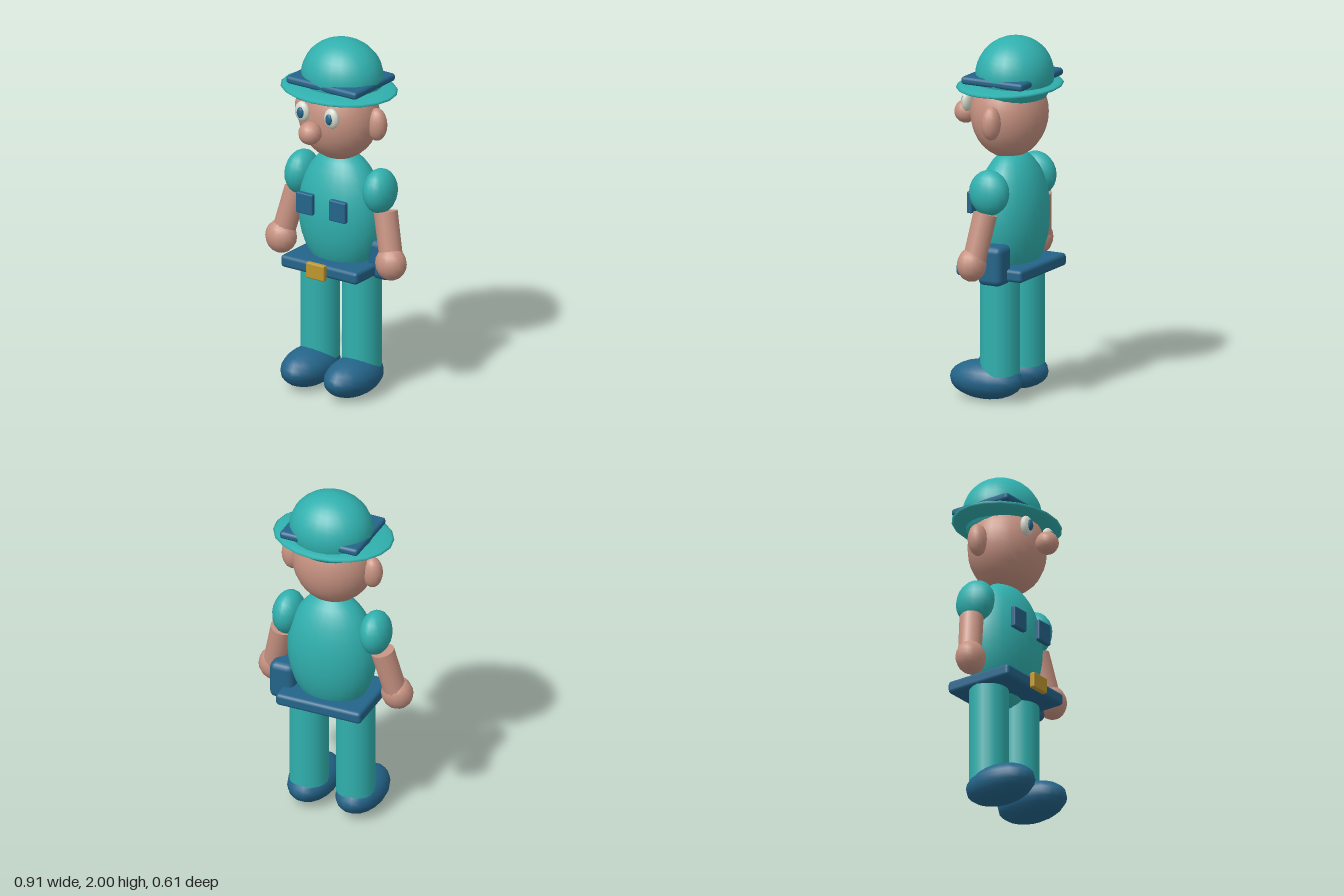
import * as THREE from 'three';
import { RoundedBoxGeometry } from 'three/addons/geometries/RoundedBoxGeometry.js';

const material = (name, color, side = THREE.FrontSide) => {
  const m = new THREE.MeshStandardMaterial({ color, side });
  m.name = name;
  return m;
};

export function createModel() {
  const model = new THREE.Group();
  model.name = 'uniformedFigure';

  const teal = material('tealCloth', 0x30b0ae, THREE.DoubleSide);
  const blue = material('darkBlue', 0x246489);
  const skin = material('skin', 0xc69281);
  const gold = material('buckleGold', 0xbd962f);
  const white = material('eyeWhite', 0xd6dacb);

  const add = (name, geometry, mat, pos) => {
    const mesh = new THREE.Mesh(geometry, mat);
    mesh.name = name;
    mesh.position.set(...pos);
    model.add(mesh);
    return mesh;
  };
  // Ellipsoid from centre and radii; thetaLength < PI cuts the bottom off
  const ball = (name, mat, pos, radii, w = 20, h = 14, theta = Math.PI) => {
    const mesh = add(name, new THREE.SphereGeometry(1, w, h, 0, Math.PI * 2, 0, theta), mat, pos);
    mesh.scale.set(...radii);
    return mesh;
  };
  const box = (name, mat, pos, size, r) =>
    add(name, new RoundedBoxGeometry(...size, 2, r), mat, pos);
  // Cylinder running from a to b
  const limb = (name, mat, a, b, ra, rb, sides) => {
    const from = new THREE.Vector3(...a), to = new THREE.Vector3(...b);
    const dir = to.clone().sub(from);
    const mid = from.clone().add(to).multiplyScalar(0.5);
    const mesh = add(name, new THREE.CylinderGeometry(rb, ra, dir.length(), sides), mat, mid.toArray());
    mesh.quaternion.setFromUnitVectors(new THREE.Vector3(0, 1, 0), dir.normalize());
    return mesh;
  };

  // Torso, belt and buckle
  ball('torso', teal, [0, 1.01, -0.05], [0.255, 0.365, 0.182], 24, 16);
  box('belt', blue, [0, 0.728, -0.038], [0.506, 0.07, 0.41], 0.02);
  box('buckle', gold, [0, 0.728, 0.184], [0.12, 0.09, 0.032], 0.008);
  box('hipPouch', blue, [0.262, 0.785, -0.082], [0.142, 0.22, 0.146], 0.035);

  // Head and nose
  ball('head', skin, [0, 1.575, -0.028], [0.23, 0.25, 0.207], 24, 16);
  ball('nose', skin, [0, 1.547, 0.243], [0.065, 0.064, 0.064], 14, 10);

  // Hat: dome, lens-shaped brim and square band
  ball('hatDome', teal, [0, 1.79, -0.06], [0.233, 0.21, 0.208], 24, 14, Math.PI * 0.7);
  ball('hatBrim', teal, [0, 1.727, -0.03], [0.338, 0.03, 0.277], 20, 12);
  box('hatBand', blue, [0, 1.776, -0.044], [0.466, 0.044, 0.382], 0.018);

  // Mirrored parts
  for (const [side, s] of [['left', 1], ['right', -1]]) {
    ball(side + 'Ear', skin, [s * 0.237, 1.56, -0.048], [0.06, 0.093, 0.053], 14, 10);
    ball(side + 'Eye', white, [s * 0.097, 1.632, 0.178], [0.046, 0.058, 0.027], 16, 10);
    ball(side + 'Pupil', blue, [s * 0.095, 1.632, 0.2], [0.022, 0.032, 0.014], 12, 8);
    box(side + 'Pocket', blue, [s * 0.109, 1.083, 0.132], [0.108, 0.12, 0.032], 0.008);

    ball(side + 'Sleeve', teal, [s * 0.259, 1.18, -0.048], [0.085, 0.125, 0.116], 16, 12)
      .rotation.z = s * 0.05;
    limb(side + 'Forearm', skin, [s * 0.297, 1.07, -0.045], [s * 0.358, 0.82, -0.012], 0.066, 0.064, 14);
    ball(side + 'Hand', skin, [s * 0.364, 0.797, 0], [0.09, 0.094, 0.08], 14, 10);

    limb(side + 'Leg', teal, [s * 0.138, 0.15, -0.047], [s * 0.138, 0.735, -0.047], 0.108, 0.108, 20);
    ball(side + 'Shoe', blue, [s * 0.143, 0.11, 0.036], [0.132, 0.108, 0.215], 18, 12);
  }

  return model;
}
